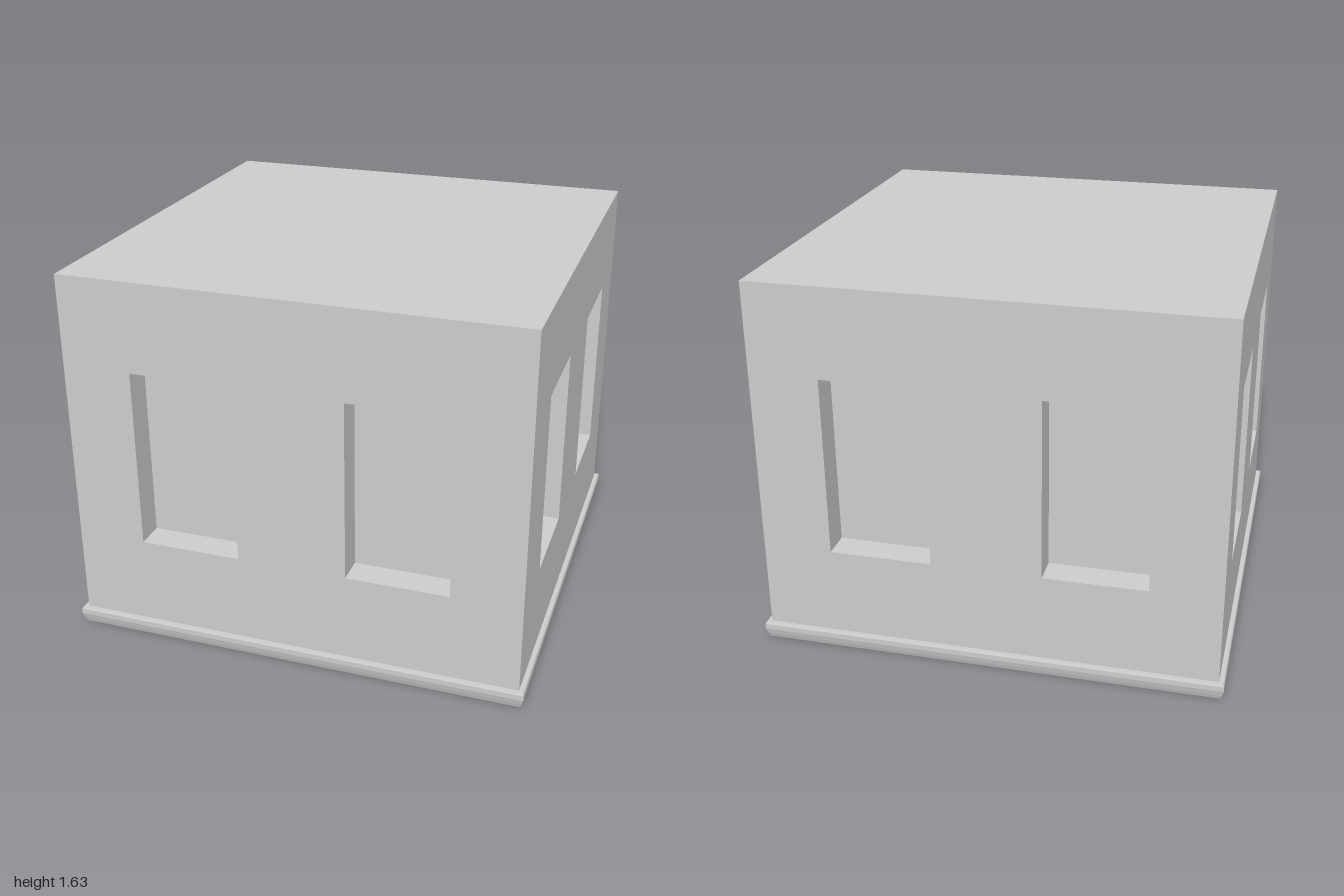
import * as THREE from 'three';

const HALF = 0.977, TOP = 1.635, BOTTOM = 0.07, RECESS = 0.125;
const CORE = HALF - RECESS;

export function createModel() {
  const model = new THREE.Group();
  const material = new THREE.MeshStandardMaterial({ color: 0xcccccc, flatShading: true });

  function add(name, geometry, parent = model) {
    const mesh = new THREE.Mesh(geometry, material);
    mesh.name = name;
    parent.add(mesh);
    return mesh;
  }

  function rectangle(target, x0, x1, y0, y1) {
    target.moveTo(x0, y0);
    target.lineTo(x1, y0);
    target.lineTo(x1, y1);
    target.lineTo(x0, y1);
    target.closePath();
    return target;
  }

  // Wall slab with two window openings mirrored about its middle
  function wallGeometry(halfWidth, windowCentre) {
    const shape = rectangle(new THREE.Shape(), -halfWidth, halfWidth, BOTTOM, TOP);
    for (const side of [-1, 1]) {
      const c = side * windowCentre;
      shape.holes.push(rectangle(new THREE.Path(), c - 0.22, c + 0.22, 0.46, 1.245));
    }
    return new THREE.ExtrudeGeometry(shape, { depth: RECESS, bevelEnabled: false })
      .translate(0, 0, CORE);
  }

  // Inner block: closes the roof and the backs of the window recesses
  const core = add('innerBlock', new THREE.BoxGeometry(CORE * 2, TOP - BOTTOM, CORE * 2));
  core.position.y = (TOP + BOTTOM) / 2;

  // Four walls; side walls fit between the front and back ones
  const longWall = wallGeometry(HALF, 0.457);
  const shortWall = wallGeometry(CORE, 0.442);
  ['frontWall', 'leftWall', 'backWall', 'rightWall'].forEach((name, i) => {
    add(name, i % 2 ? shortWall : longWall).rotation.y = i * Math.PI / 2;
  });

  // Square base moulding with a rounded underside and a narrow ledge
  const profile = [[0, 0], [0.985, 0], [0.993, 0.02], [1, 0.045], [1, 0.068], [0.996, 0.075], [0.97, 0.075]]
    .map(([r, y]) => new THREE.Vector2(r * Math.SQRT2, y));
  const moulding = new THREE.LatheGeometry(profile, 4).rotateY(Math.PI / 4).toNonIndexed();
  moulding.computeVertexNormals();
  add('baseMoulding', moulding);

  return model;
}
